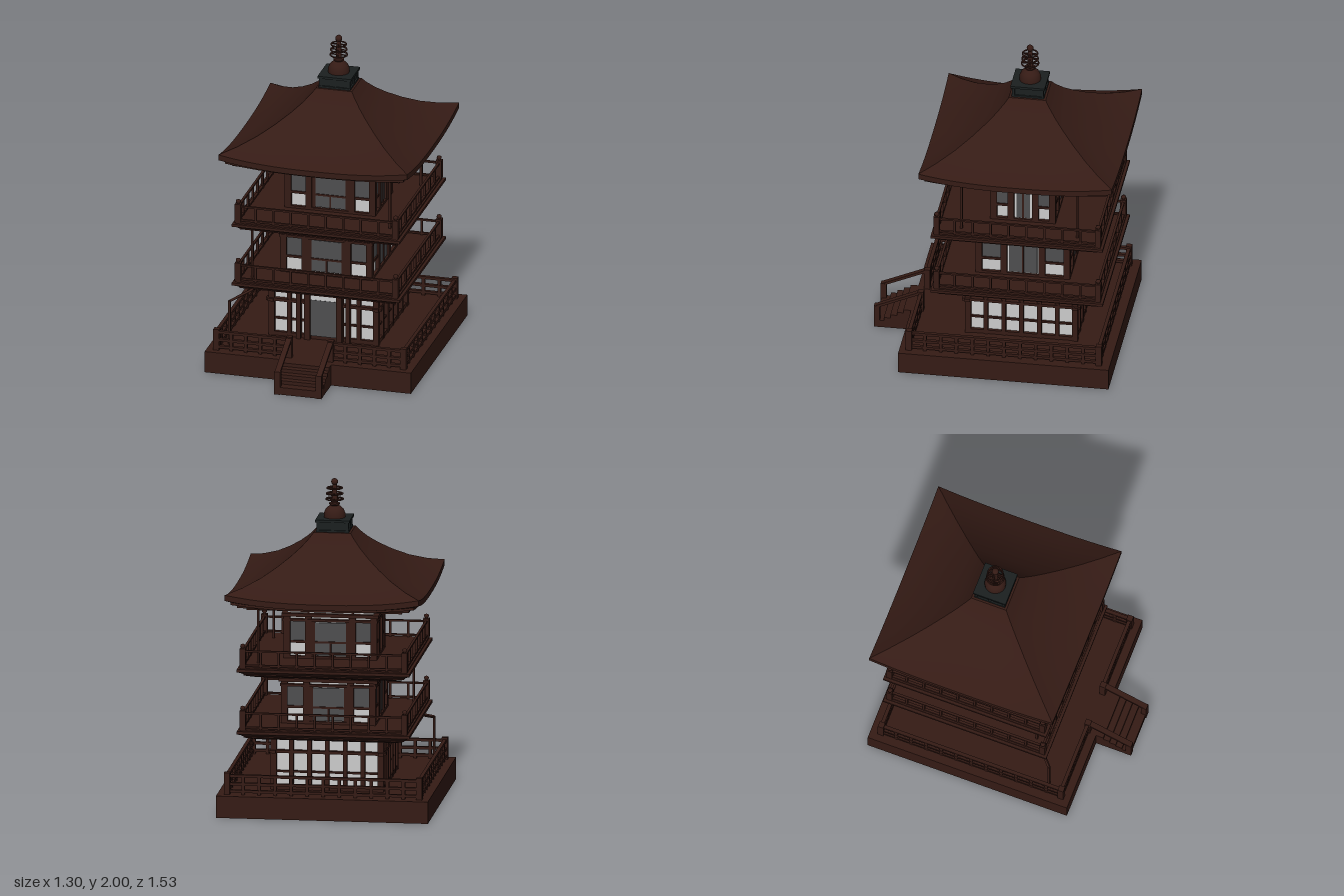
import * as THREE from 'three';
import { toCreasedNormals } from 'three/addons/utils/BufferGeometryUtils.js';

const wood = new THREE.MeshStandardMaterial({ color: 0x351b15 });
const plaster = new THREE.MeshStandardMaterial({ color: 0xcccccc });
const glass = new THREE.MeshStandardMaterial({ color: 0x4e4e50 });
const iron = new THREE.MeshStandardMaterial({ color: 0x1b2020 });

function add(parent, name, geometry, material, x = 0, y = 0, z = 0) {
  const m = new THREE.Mesh(geometry, material);
  m.name = name;
  m.position.set(x, y, z);
  parent.add(m);
  return m;
}

function group(parent, name) {
  const g = new THREE.Group();
  g.name = name;
  parent.add(g);
  return g;
}

// Box given by its limits
function box(parent, name, mat, x0, x1, y0, y1, z0, z1) {
  return add(parent, name, new THREE.BoxGeometry(x1 - x0, y1 - y0, z1 - z0), mat,
    (x0 + x1) / 2, (y0 + y1) / 2, (z0 + z1) / 2);
}

// Square bar between two points
function bar(parent, name, a, b, w, h = w) {
  const p = new THREE.Vector3(...a), q = new THREE.Vector3(...b);
  const m = add(parent, name, new THREE.BoxGeometry(w, h, p.distanceTo(q)), wood);
  m.position.copy(p).lerp(q, 0.5);
  m.quaternion.setFromUnitVectors(new THREE.Vector3(0, 0, 1), q.sub(p).normalize());
}

// Square rings [half width, height, corner lift], listed from the top down the outside
function squareLoft(rows, seg = 16) {
  const pos = [], idx = [];
  for (let s = 0; s < 4; s++) {
    const base = pos.length / 3, c = Math.round(Math.cos(s * Math.PI / 2)), n = Math.round(Math.sin(s * Math.PI / 2));
    rows.forEach(([h, y, lift = 0], i) => {
      for (let j = 0; j <= seg; j++) {
        const u = j / seg * 2 - 1, x = u * h;
        pos.push(x * c + h * n, y - lift * (1 - Math.abs(u) ** 2.5), h * c - x * n);
        if (i && j) {
          const b = base + i * (seg + 1) + j, a = b - seg - 1;
          idx.push(a - 1, b - 1, a, a, b - 1, b);
        }
      }
    });
  }
  const g = new THREE.BufferGeometry();
  g.setAttribute('position', new THREE.Float32BufferAttribute(pos, 3));
  g.setIndex(idx);
  return toCreasedNormals(g, 0.4);
}

// Straight run of railing with small balusters
function railing(parent, [x0, z0], [x1, z1], y, heights, w, count) {
  const run = group(parent, 'railing');
  for (const h of heights) bar(run, 'rail', [x0, y + h, z0], [x1, y + h, z1], w, w * 0.75);
  for (let i = 1; i < count; i++) {
    const t = i / count, x = x0 + (x1 - x0) * t, z = z0 + (z1 - z0) * t, r = w * 0.45;
    box(run, 'baluster', wood, x - r, x + r, y, y + heights[0], z - r, z + r);
  }
}

// Calls build(sideGroup, half width, distance to wall, index) for each of four walls
function fourWalls(parent, hx, hz, build) {
  for (let k = 0; k < 4; k++) {
    const side = group(parent, ['frontWall', 'leftWall', 'backWall', 'rightWall'][k]);
    side.rotation.y = k * Math.PI / 2;
    build(side, k % 2 ? hz : hx, k % 2 ? hx : hz, k);
  }
}

function buildPlatform(root) {
  const p = group(root, 'platform');
  box(p, 'platformBase', wood, -0.648, 0.648, 0, 0.135, -0.752, 0.538);
  const X = 0.588, F = 0.48, B = -0.685, y = 0.135, h = [0.115, 0.065, 0.02];
  for (const s of [-1, 1]) {
    for (const [x, z] of [[X, F], [X, B], [0.13, F]])
      box(p, 'railingPost', wood, s * x - 0.018, s * x + 0.018, y, 0.27, z - 0.018, z + 0.018);
    railing(p, [s * X, F], [s * X, B], y, h, 0.022, 12);
    railing(p, [s * X, F], [s * 0.13, F], y, h, 0.022, 5);
    // Stair handrail
    box(p, 'stairPost', wood, s * 0.13 - 0.018, s * 0.13 + 0.018, 0, 0.148, 0.73, 0.765);
    bar(p, 'stairHandrail', [s * 0.13, 0.262, 0.48], [s * 0.13, 0.14, 0.755], 0.034, 0.016);
  }
  railing(p, [-X, B], [X, B], y, h, 0.022, 12);
  for (let i = 0; i < 5; i++)
    box(p, 'stairStep', wood, -0.147, 0.147, 0, 0.027 * (i + 1) + 0.005 * (4 - i), 0.53, i ? 0.745 - i * 0.04 : 0.76);
}

// Ground floor: lattice walls with a door at the front
function buildGroundFloor(tower) {
  const f = group(tower, 'groundFloor');
  box(f, 'walls', plaster, -0.32, 0.32, 0.135, 0.5, -0.32, 0.32);
  fourWalls(f, 0.328, 0.328, (s, w, d, k) => {
    box(s, 'sill', wood, -w, w, 0.135, 0.16, d - 0.015, d + 0.012);
    box(s, 'tieBeam', wood, -0.362, 0.362, 0.362, 0.38, d - 0.015, d + 0.02);
    box(s, 'lowerRail', wood, -w, w, 0.24, 0.252, d - 0.015, d + 0.006);
    box(s, 'topBeam', wood, -0.355, 0.355, 0.455, 0.48, d - 0.015, d + 0.02);
    for (let i = 0; i < 7; i++) {
      const x = (i - 3) * 0.1093, t = i % 6 ? 0.013 : 0.018;
      if (k === 0 && i === 3) continue;
      box(s, 'column', wood, x - t, x + t, 0.135, 0.48, d - 0.018, d + 0.016);
    }
    if (k) return;
    box(s, 'doorLintelPanel', plaster, -0.08, 0.08, 0.395, 0.455, d, d + 0.022);
    box(s, 'door', glass, -0.08, 0.08, 0.16, 0.395, d, d + 0.024);
    for (const m of [-1, 1]) {
      box(s, 'doorFrame', wood, m * 0.1 - 0.018, m * 0.1 + 0.018, 0.135, 0.48, d, d + 0.035);
      box(s, 'porchPost', wood, m * 0.155 - 0.013, m * 0.155 + 0.013, 0.135, 0.48, d, d + 0.035);
    }
  });
}

// Upper floor: framed bays with windows over plaster and a central opening
function buildUpperFloor(tower, name, y, hx, hz, top) {
  const f = group(tower, name);
  box(f, 'walls', plaster, -hx + 0.02, hx - 0.02, y, top, -hz + 0.02, hz - 0.02);
  fourWalls(f, hx, hz, (s, w, d, k) => {
    const narrow = w < 0.25;
    const inner = narrow ? 0.075 : k % 2 ? 0.117 : 0.135;
    const c = narrow ? 0.05 : 0.095, t = 0.02;
    for (const x of [-w + t, -inner, inner, w - t])
      box(s, 'column', wood, x - t, x + t, y, y + 0.28, d - 0.035, d);
    for (const [a, b, e] of [[0, 0.02, 0], [0.235, 0.25, 0.005], [0.265, 0.285, 0.012]])
      box(s, 'beam', wood, -w - e, w + e, y + a, y + b, d - 0.035, d + e);
    for (const m of [-1, 1]) {
      const a = m * (inner + t), b = m * (w - 2 * t), lo = Math.min(a, b), hi = Math.max(a, b);
      box(s, 'window', glass, lo, hi, y + 0.115, y + 0.235, d - 0.025, d - 0.013);
      box(s, 'windowSill', wood, lo, hi, y + 0.1, y + 0.115, d - 0.03, d - 0.005);
    }
    // Central sliding screens
    if (k % 2) box(s, 'screenFrame', plaster, -c, c, y + 0.02, y + 0.235, d - 0.025, d - 0.014);
    const e = k % 2 ? c - 0.008 : c;
    box(s, 'screen', glass, -e, e, y + 0.025, y + 0.227, d - 0.025, d - 0.01);
    box(s, 'screenDivider', wood, -0.005, 0.005, y + 0.02, y + (k % 2 ? 0.235 : 0.105), d - 0.02, d - 0.005);
    if (k % 2 === 0) {
      box(s, 'screenRail', wood, -c, c, y + 0.1, y + 0.112, d - 0.02, d - 0.005);
      for (const m of [-1, 1])
        box(s, 'screenJamb', wood, m * 0.105 - 0.011, m * 0.105 + 0.011, y, y + 0.24, d - 0.03, d - 0.008);
    }
    // Frieze struts under the next level
    for (const x of [-inner, inner])
      box(s, 'friezeStrut', wood, x - 0.007, x + 0.007, y + 0.28, top, d - 0.025, d - 0.012);
    box(s, 'friezeRail', wood, -w + 0.014, w - 0.014, y + 0.325, y + 0.337, d - 0.025, d - 0.012);
  });
}

// Balcony deck with stepped, tapering underside and railing
function buildBalcony(tower, name, y) {
  const b = group(tower, name);
  add(b, 'deck', squareLoft([[0.001, y], [0.51, y], [0.51, y - 0.008], [0.528, y - 0.008], [0.528, y - 0.025],
    [0.505, y - 0.035], [0.49, y - 0.045], [0.49, y - 0.052], [0.42, y - 0.075], [0.001, y - 0.075]], 1), wood);
  const r = 0.495;
  for (let k = 0; k < 4; k++) {
    const side = group(b, 'balconySide');
    side.rotation.y = k * Math.PI / 2;
    railing(side, [-r, r], [r, r], y, [0.1, 0.012], 0.015, 9);
    box(side, 'cornerPost', wood, r - 0.018, r + 0.018, y, y + 0.118, r - 0.018, r + 0.018);
    add(side, 'postFinial', new THREE.LatheGeometry([[0.009, 0], [0.009, 0.01], [0.016, 0.017], [0.013, 0.028], [0, 0.034]]
      .map(p => new THREE.Vector2(...p)), 10), wood, r, y + 0.113, r);
    box(side, 'supportBeam', wood, -0.27, 0.27, y - 0.095, y - 0.07, 0.26, 0.285);
  }
}

function buildRoof(tower) {
  const r = group(tower, 'roof');
  add(r, 'roofShell', squareLoft([[0.001, 1.685], [0.113, 1.685], [0.135, 1.655, 0.001], [0.18, 1.607, 0.003],
    [0.235, 1.56, 0.006], [0.31, 1.506, 0.011], [0.4, 1.453, 0.02], [0.5, 1.411, 0.033], [0.593, 1.385, 0.045],
    [0.593, 1.35, 0.045], [0.56, 1.334, 0.035], [0.56, 1.318, 0.03], [0.525, 1.306, 0.015], [0.525, 1.294, 0.01],
    [0.475, 1.284], [0.475, 1.272], [0.41, 1.272], [0.39, 1.285], [0.001, 1.285]]), wood);
  // Square cap with framed sides
  box(r, 'capBlock', iron, -0.09, 0.09, 1.68, 1.75, -0.09, 0.09);
  box(r, 'capLid', iron, -0.105, 0.105, 1.745, 1.76, -0.105, 0.105);
  box(r, 'capFoot', iron, -0.1, 0.1, 1.682, 1.696, -0.1, 0.1);
  for (let k = 0; k < 4; k++) {
    const s = group(r, 'capSide');
    s.rotation.y = k * Math.PI / 2;
    for (const x of [-0.088, 0, 0.088]) box(s, 'capRib', iron, x - 0.008, x + 0.008, 1.69, 1.75, 0.08, 0.097);
  }
  // Spire
  const profile = [[0.065, 1.76], [0.065, 1.785], [0.055, 1.81], [0.035, 1.828], [0.024, 1.832], [0.033, 1.84],
    [0.033, 1.848], [0.018, 1.852], [0.014, 1.965], [0, 1.965]];
  add(r, 'spire', toCreasedNormals(new THREE.LatheGeometry(profile.map(p => new THREE.Vector2(...p)), 24), 0.6), wood);
  [1.872, 1.905, 1.94].forEach((y, i) => {
    const ring = add(r, 'spireRing', new THREE.TorusGeometry(0.052 - i * 0.003, 0.005, 8, 24), wood, 0, y);
    ring.rotation.x = Math.PI / 2;
    for (const a of [0, Math.PI / 2])
      add(r, 'ringSpoke', new THREE.BoxGeometry(0.1 - i * 0.006, 0.006, 0.008), wood, 0, y).rotation.y = a;
  });
  add(r, 'spireBall', new THREE.SphereGeometry(0.021, 16, 12), wood, 0, 1.979);
}

export function createModel() {
  const root = new THREE.Group();
  root.name = 'pagoda';
  buildPlatform(root);
  const tower = group(root, 'tower');
  tower.position.z = -0.17;
  buildGroundFloor(tower);
  buildBalcony(tower, 'lowerBalcony', 0.535);
  buildUpperFloor(tower, 'middleFloor', 0.53, 0.29, 0.29, 0.87);
  buildBalcony(tower, 'upperBalcony', 0.92);
  buildUpperFloor(tower, 'topFloor', 0.915, 0.285, 0.2, 1.3);
  buildRoof(tower);
  // Rain pipes
  for (const [a, b] of [[[0.42, 0.92, 0.355], [0.42, 1.3, 0.355]], [[0.42, 0.92, -0.355], [0.42, 1.3, -0.355]],
    [[-0.425, 0.53, 0.43], [-0.425, 0.88, 0.43]], [[-0.535, 0.135, 0.55], [-0.535, 0.42, 0.55]],
    [[-0.535, 0.415, 0.55], [-0.4, 0.47, 0.42]]]) bar(tower, 'rainPipe', a, b, 0.014);
  return root;
}
